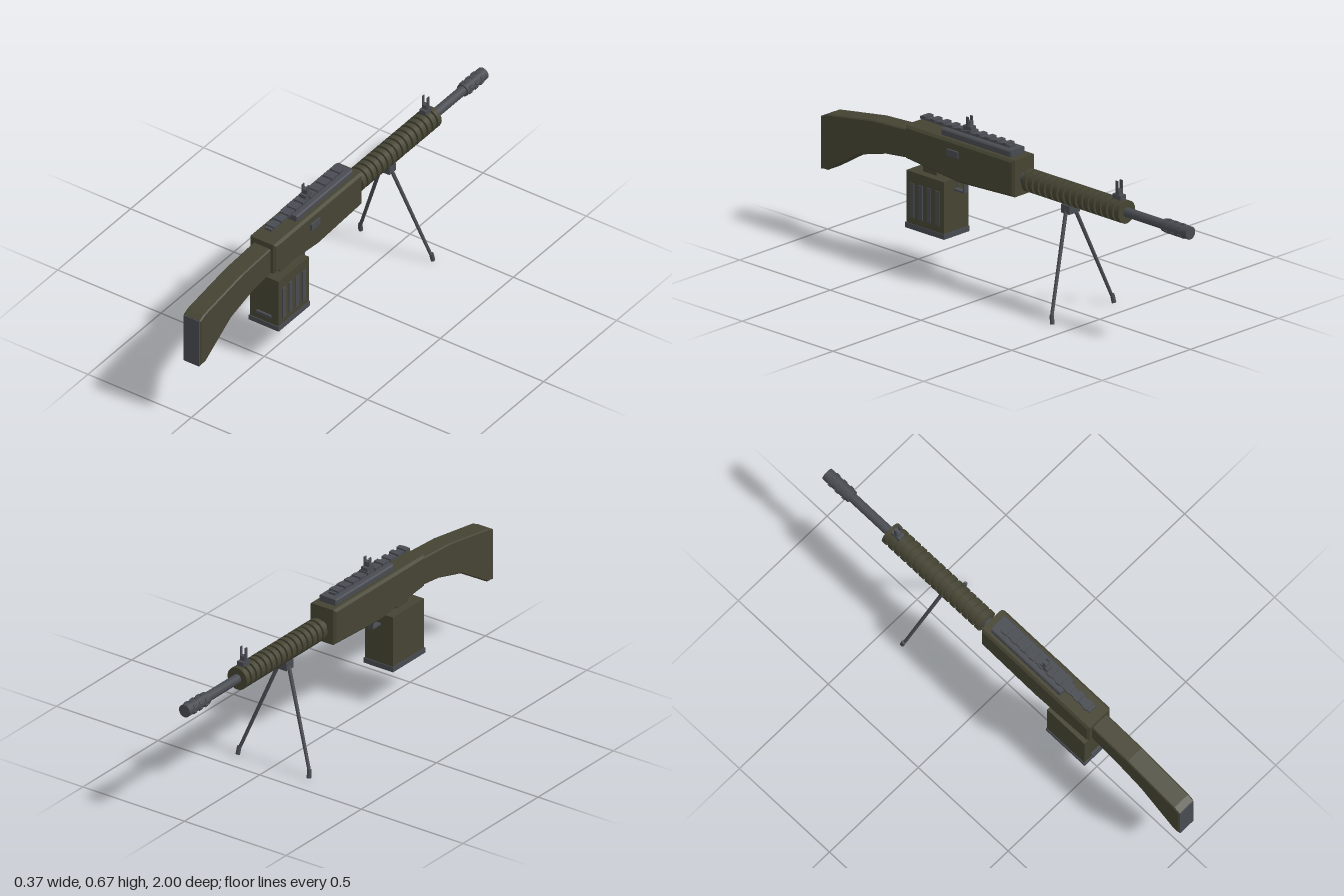
import * as THREE from 'three';

export function createModel() {
  const model = new THREE.Group();
  const olive = new THREE.MeshStandardMaterial({ color: 0x454433 });
  olive.name = 'olive';
  const steel = new THREE.MeshStandardMaterial({ color: 0x484b51 });
  steel.name = 'gunmetal';
  const AXIS = 0.489; // height of the barrel line

  const add = (name, geometry, material, parent = model) => {
    const mesh = new THREE.Mesh(geometry, material);
    mesh.name = name;
    parent.add(mesh);
    return mesh;
  };
  // box given by its limits on each axis
  const box = (name, x, y, z, material, parent) => {
    const g = new THREE.BoxGeometry(x[1] - x[0], y[1] - y[0], z[1] - z[0]);
    g.translate((x[0] + x[1]) / 2, (y[0] + y[1]) / 2, (z[0] + z[1]) / 2);
    return add(name, g, material, parent);
  };
  // side outline of [z, y] points, extruded across x with chamfered edges
  const slab = (name, points, width, bevel, material) => {
    const shape = new THREE.Shape(points.map(([z, y]) => new THREE.Vector2(-z, y)));
    const g = new THREE.ExtrudeGeometry(shape, {
      depth: width - 2 * bevel, bevelEnabled: true, bevelSegments: 1,
      bevelSize: bevel, bevelThickness: bevel, bevelOffset: -bevel,
    });
    g.translate(0, 0, bevel - width / 2).rotateY(Math.PI / 2);
    return add(name, g, material);
  };
  // cylinder lying along the barrel line
  const tube = (name, r, z0, z1, material, parent, sides = 20) => {
    const g = new THREE.CylinderGeometry(r, r, Math.abs(z1 - z0), sides);
    g.rotateX(Math.PI / 2).translate(0, AXIS, (z0 + z1) / 2);
    return add(name, g, material, parent);
  };
  // round rod between two points
  const rod = (name, a, b, r0, r1, material, parent) => {
    const from = new THREE.Vector3(...a), to = new THREE.Vector3(...b);
    const dir = to.clone().sub(from);
    const mesh = add(name, new THREE.CylinderGeometry(r1, r0, dir.length(), 10), material, parent);
    mesh.position.copy(from).add(to).multiplyScalar(0.5);
    mesh.quaternion.setFromUnitVectors(new THREE.Vector3(0, 1, 0), dir.normalize());
  };
  const group = (name) => {
    const g = new THREE.Group();
    g.name = name;
    model.add(g);
    return g;
  };

  // Body and stock
  slab('receiver', [[0.515, 0.577], [-0.085, 0.577], [-0.085, 0.422], [0.22, 0.407], [0.515, 0.437]],
    0.128, 0.01, olive);
  slab('stock', [[0.5, 0.553], [0.5, 0.434], [0.64, 0.418], [0.785, 0.378], [0.962, 0.268],
    [0.996, 0.268], [0.996, 0.487], [0.968, 0.502], [0.71, 0.542]], 0.084, 0.005, olive);
  box('buttPlate', [-0.038, 0.038], [0.266, 0.486], [0.992, 1], steel);
  box('sideButton', [0.06, 0.072], [0.512, 0.54], [0.215, 0.275], steel);

  // Top rail with cross teeth
  const rail = group('topRail');
  slab('railBase', [[0.335, 0.604], [-0.05, 0.604], [-0.05, 0.575], [0.335, 0.575]], 0.084, 0.005, steel);
  box('railStrip', [-0.017, 0.017], [0.603, 0.613], [-0.02, 0.475], steel, rail);
  for (let i = 0; i < 10; i++) {
    const z = 0.003 + i * 0.0497;
    box('railTooth', [-0.022, 0.022], [0.608, 0.62], [z - 0.012, z + 0.012], steel, rail);
  }

  // Sights: a block carrying two prongs and a thin centre post
  const sight = (name, z, base, shoulder, tip) => {
    const s = group(name);
    box('sightFoot', [-0.015, 0.015], [base, base + 0.02], [z - 0.022, z + 0.022], steel, s);
    box('sightBlock', [-0.011, 0.011], [base, shoulder], [z - 0.01, z + 0.01], steel, s);
    for (const side of [-1, 1]) {
      const x = side * 0.0115;
      box('sightProng', [x - 0.002, x + 0.002], [shoulder - 0.02, tip], [z - 0.007, z + 0.007], steel, s);
    }
  };
  sight('rearSight', 0.217, 0.615, 0.655, 0.673);
  sight('frontSight', -0.607, 0.535, 0.575, 0.612);

  // Ringed handguard
  const guard = group('handguard');
  tube('barrelCollar', 0.025, -0.07, -0.12, steel, guard);
  tube('handguardCore', 0.038, -0.11, -0.645, olive, guard);
  for (let i = 0; i < 16; i++) {
    const z = -0.125 - i * 0.0342;
    tube('handguardRing', 0.048, z + 0.0115, z - 0.0115, olive, guard);
  }

  // Barrel and muzzle brake
  const barrel = group('barrel');
  tube('barrelTube', 0.02, -0.63, -0.99, steel, barrel);
  tube('muzzleBrake', 0.027, -0.86, -1, steel, barrel);
  for (let i = 0; i < 3; i++) {
    for (let k = 0; k < 6; k++) {
      const g = new THREE.BoxGeometry(0.012, 0.006, 0.018);
      g.translate(0, 0.027, 0).rotateZ(k * Math.PI / 3);
      add('brakeLug', g, steel, barrel).position.set(0, AXIS, -0.885 - i * 0.038);
    }
  }

  // Box magazine
  const mag = group('magazine');
  box('magazineBody', [-0.07, 0.069], [0.17, 0.394], [0.292, 0.499], olive, mag);
  box('magazineFoot', [-0.073, 0.072], [0.153, 0.175], [0.288, 0.503], steel, mag);
  box('magazineNeck', [-0.035, 0.035], [0.39, 0.435], [0.365, 0.44], olive, mag);
  box('magazineCatch', [-0.015, 0.015], [0.39, 0.425], [0.33, 0.35], steel, mag);
  box('magazineHandle', [-0.035, 0.035], [0.205, 0.217], [0.495, 0.508], steel, mag);
  for (let i = 0; i < 4; i++) {
    const z = 0.327 + i * 0.046;
    box('magazineRib', [0.066, 0.073], [0.203, 0.348], [z - 0.011, z + 0.011], steel, mag);
  }

  // Trigger and its guard
  const trigger = group('trigger');
  rod('triggerBlade', [0, 0.425, 0.3], [0, 0.368, 0.278], 0.006, 0.004, steel, trigger);
  box('guardFront', [-0.012, 0.012], [0.345, 0.42], [0.236, 0.243], steel, trigger);
  box('guardBottom', [-0.012, 0.012], [0.345, 0.352], [0.236, 0.3], steel, trigger);

  // Bipod
  const bipod = group('bipod');
  box('bipodMount', [-0.03, 0.03], [0.412, 0.447], [-0.362, -0.316], steel, bipod);
  for (const side of [-1, 1]) {
    rod('bipodLeg', [side * 0.022, 0.428, -0.337], [side * 0.173, 0.025, -0.402], 0.008, 0.007, steel, bipod);
    rod('bipodFoot', [side * 0.172, 0.037, -0.402], [side * 0.175, 0.002, -0.409], 0.009, 0.0095, steel, bipod);
  }
  return model;
}
